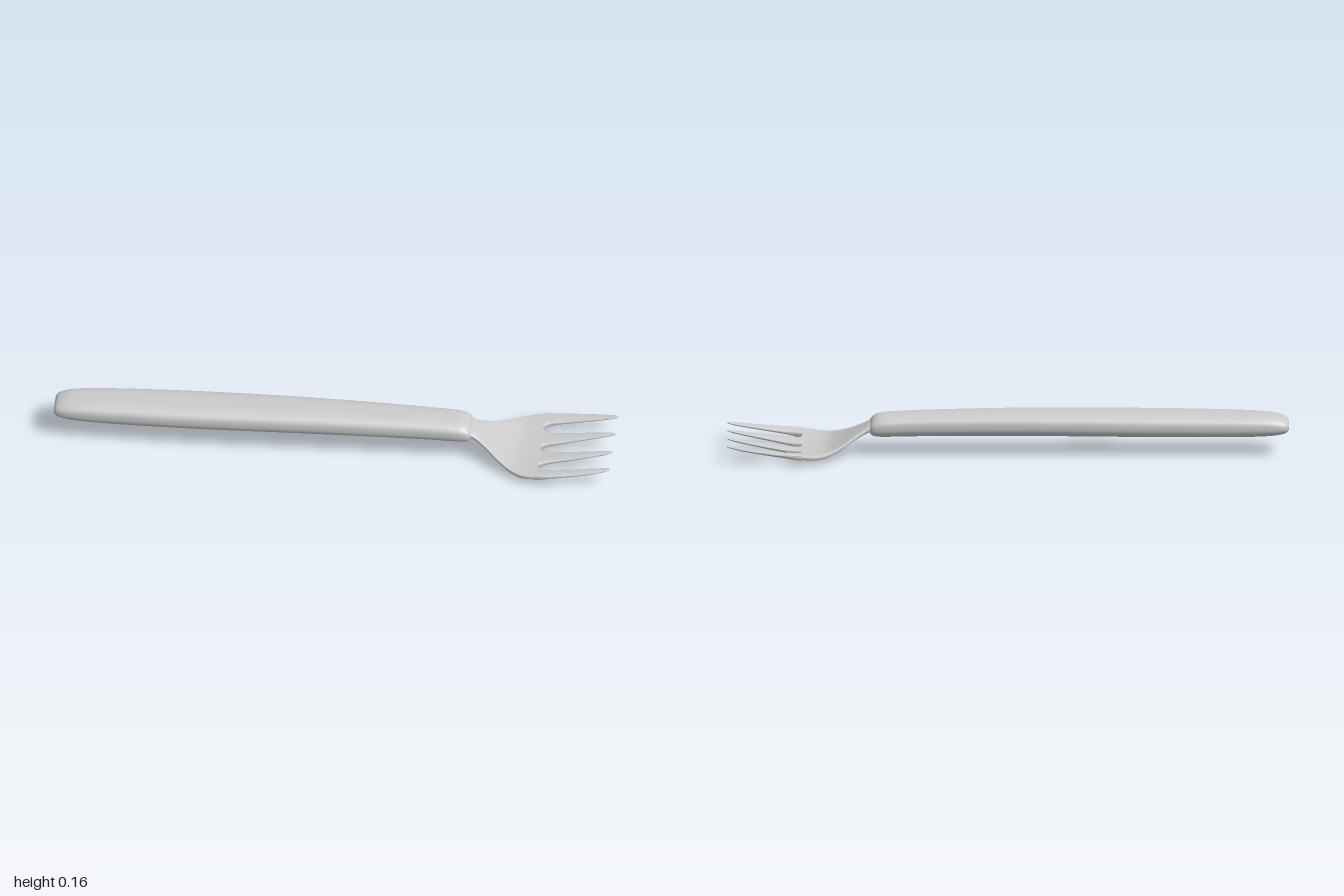
import * as THREE from 'three';

const material = new THREE.MeshStandardMaterial({ color: 0xcccccc });

// Smooth interpolation through [x, a, b, ...] rows; returns x => [a, b, ...]
function track(rows) {
  const slope = (i, k) => {
    const p = rows[Math.max(i - 1, 0)], q = rows[Math.min(i + 1, rows.length - 1)];
    return (q[k] - p[k]) / (q[0] - p[0]);
  };
  return x => {
    let i = 0;
    while (i < rows.length - 2 && x > rows[i + 1][0]) i++;
    const p = rows[i], q = rows[i + 1], d = q[0] - p[0];
    const t = (x - p[0]) / d, t2 = t * t, t3 = t2 * t;
    return p.slice(1).map((v, k) =>
      v * (2 * t3 - 3 * t2 + 1) + q[k + 1] * (3 * t2 - 2 * t3) +
      d * ((t3 - 2 * t2 + t) * slope(i, k + 1) + (t3 - t2) * slope(i + 1, k + 1)));
  };
}

// Each key interval split into equal steps
function stations(rows, steps) {
  const xs = [rows[0][0]];
  for (let i = 1; i < rows.length; i++)
    for (let s = 1; s <= steps; s++)
      xs.push(rows[i - 1][0] + (rows[i][0] - rows[i - 1][0]) * s / steps);
  return xs;
}

// Loft of superellipse sections along x: section(x) gives z, w, y, h, n and cup
function loft(name, xs, section, segs = 56) {
  const pos = [], index = [];
  for (const x of xs) {
    const { z, w, y, h, n, cup = 0 } = section(x);
    for (let j = 0; j < segs; j++) {
      const a = j / segs * Math.PI * 2, c = Math.cos(a);
      const s = Math.abs(Math.sin(a)) < 1e-6 ? 0 : Math.sign(Math.sin(a));
      const pz = z + w * c;
      const rise = s * h * Math.pow(Math.max(0, 1 - Math.abs(c) ** n), 1 / n);
      pos.push(x, y + rise + cup * pz * pz, pz);
    }
  }
  const last = (xs.length - 1) * segs;
  for (let i = 0; i < last; i += segs)
    for (let j = 0; j < segs; j++) {
      const k = (j + 1) % segs;
      index.push(i + j, i + segs + j, i + k, i + k, i + segs + j, i + segs + k);
    }
  // End caps with their own vertices
  for (const [start, flip] of [[0, false], [last, true]]) {
    const base = pos.length / 3;
    let cy = 0, cz = 0;
    for (let j = 0; j < segs; j++) {
      const o = (start + j) * 3;
      pos.push(pos[o], pos[o + 1], pos[o + 2]);
      cy += pos[o + 1] / segs;
      cz += pos[o + 2] / segs;
    }
    pos.push(pos[start * 3], cy, cz);
    for (let j = 0; j < segs; j++) {
      const a = base + j, b = base + (j + 1) % segs;
      index.push(base + segs, flip ? b : a, flip ? a : b);
    }
  }
  const geo = new THREE.BufferGeometry();
  geo.setAttribute('position', new THREE.Float32BufferAttribute(pos, 3));
  geo.setIndex(index);
  geo.computeVertexNormals();
  const mesh = new THREE.Mesh(geo, material);
  mesh.name = name;
  return mesh;
}

// Handle: x, half width, bottom, top
const handleRows = [
  [-1, 0.046, 0.09, 0.114], [-0.993, 0.056, 0.08, 0.125], [-0.975, 0.064, 0.073, 0.134],
  [-0.94, 0.071, 0.068, 0.142], [-0.88, 0.076, 0.065, 0.147], [-0.75, 0.082, 0.064, 0.151],
  [-0.5, 0.087, 0.065, 0.154], [-0.2, 0.084, 0.067, 0.156], [0, 0.08, 0.067, 0.155],
  [0.2, 0.075, 0.066, 0.151], [0.36, 0.071, 0.064, 0.146], [0.44, 0.07, 0.062, 0.141],
  [0.465, 0.068, 0.063, 0.136], [0.482, 0.064, 0.067, 0.126], [0.492, 0.056, 0.076, 0.113],
];

// Centre height, half thickness and sideways cupping of the head
const headLine = track([
  [0.45, 0.107, 0.017, 0], [0.49, 0.096, 0.016, 0], [0.52, 0.082, 0.012, 0],
  [0.56, 0.06, 0.01, 0.1], [0.6, 0.037, 0.01, 0.3], [0.64, 0.019, 0.011, 0.4],
  [0.68, 0.012, 0.012, 0.4], [0.735, 0.0145, 0.011, 0.4], [0.8, 0.025, 0.0095, 0.3],
  [0.9, 0.043, 0.007, 0.12], [0.97, 0.056, 0.005, 0.03], [1, 0.0625, 0.0025, 0],
]);

// Neck and palm: x, half width, section roundness
const palmRows = [
  [0.45, 0.055, 2.5], [0.49, 0.055, 2.5], [0.515, 0.062, 3], [0.55, 0.084, 3.5], [0.6, 0.127, 4],
  [0.65, 0.166, 4.5], [0.69, 0.186, 5], [0.735, 0.194, 5],
];

// Tines: x, inner edge, outer edge
const outerTine = [
  [0.735, 0.117, 0.194], [0.738, 0.126, 0.1945], [0.745, 0.133, 0.195], [0.765, 0.141, 0.195],
  [0.8, 0.144, 0.194], [0.85, 0.146, 0.191], [0.9, 0.148, 0.186], [0.95, 0.15, 0.179],
  [0.985, 0.152, 0.171], [0.996, 0.154, 0.167], [1, 0.157, 0.163],
];
const innerTine = [
  [0.735, 0, 0.117], [0.738, 0.009, 0.108], [0.745, 0.016, 0.101], [0.765, 0.023, 0.092],
  [0.8, 0.027, 0.087], [0.85, 0.033, 0.082], [0.9, 0.038, 0.077], [0.95, 0.043, 0.07],
  [0.985, 0.047, 0.064], [0.996, 0.049, 0.061], [1, 0.053, 0.057],
];

export function createModel() {
  const model = new THREE.Group();
  model.name = 'fork';

  const grip = track(handleRows);
  model.add(loft('handle', stations(handleRows, 4), x => {
    const [w, lo, hi] = grip(x);
    return { z: 0, w, y: (lo + hi) / 2, h: (hi - lo) / 2, n: 2.6 };
  }));

  const head = new THREE.Group();
  head.name = 'head';
  model.add(head);

  const palm = track(palmRows);
  head.add(loft('neckAndPalm', stations(palmRows, 5), x => {
    const [w, n] = palm(x), [y, h, cup] = headLine(x);
    return { z: 0, w, y, h, n, cup };
  }, 72));

  // Four tines, mirrored about the centre line
  for (const [label, rows] of [['outerTine', outerTine], ['innerTine', innerTine]]) {
    const edges = track(rows);
    for (const side of [1, -1]) {
      head.add(loft(label + (side > 0 ? 'Front' : 'Back'), stations(rows, 4), x => {
        const [a, b] = edges(x), [y, h, cup] = headLine(x);
        const n = 2.3 + 2.7 * Math.max(0, 1 - (x - 0.735) / 0.06);
        return { z: side * (a + b) / 2, w: (b - a) / 2, y, h, n, cup };
      }, 40));
    }
  }
  return model;
}
